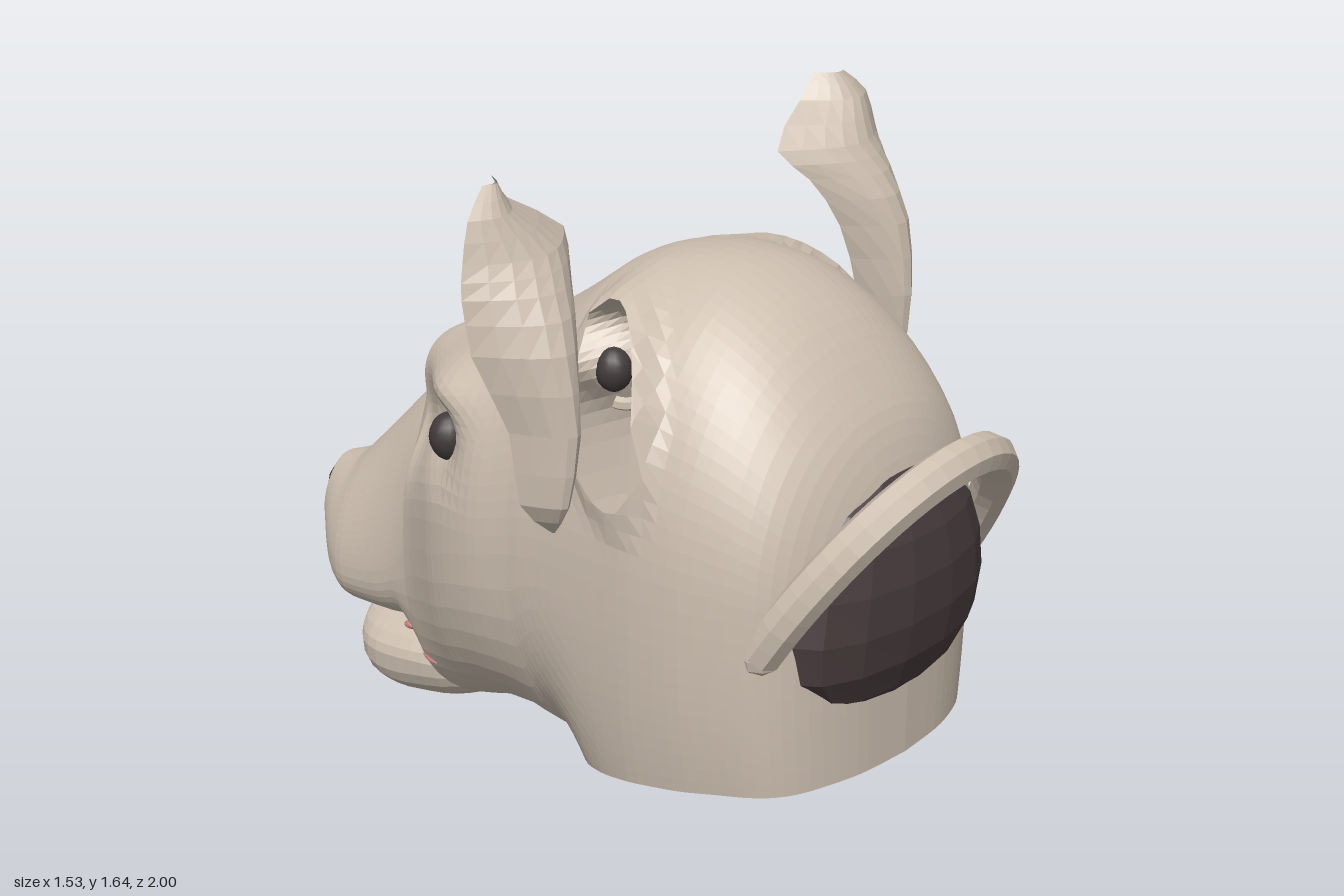
import * as THREE from 'three';

const { smoothstep } = THREE.MathUtils;
const mat = (name, color, flatShading = true) => {
  const m = new THREE.MeshStandardMaterial({ color, flatShading, side: THREE.DoubleSide });
  m.name = name;
  return m;
};

// Skin a list of rings; cells whose corners are all "cut" are left open
function skin(rings) {
  const n = rings[0].length, pos = [], idx = [];
  rings.forEach(r => r.forEach(p => pos.push(p.x, p.y, p.z)));
  for (let i = 0; i < rings.length - 1; i++) for (let j = 0; j < n - 1; j++) {
    const a = i * n + j, b = a + n;
    if ([rings[i][j], rings[i][j + 1], rings[i + 1][j], rings[i + 1][j + 1]].every(p => p.cut)) continue;
    idx.push(a, b, a + 1, a + 1, b, b + 1);
  }
  const g = new THREE.BufferGeometry();
  g.setAttribute('position', new THREE.Float32BufferAttribute(pos, 3));
  g.setIndex(idx);
  g.computeVertexNormals();
  return g;
}

// Monotone smooth interpolation between table rows
function refine(rows, sub) {
  const slope = (a, b) => (a * b <= 0 ? 0 : (2 * a * b) / (a + b));
  const at = i => rows[Math.min(Math.max(i, 0), rows.length - 1)];
  const out = [];
  for (let i = 0; i < rows.length - 1; i++) for (let s = 0; s < sub; s++) {
    const t = s / sub;
    out.push(rows[i].map((p, c) => {
      const q = at(i + 1)[c], d = q - p;
      const d0 = i > 0 ? p - at(i - 1)[c] : d, d1 = i < rows.length - 2 ? at(i + 2)[c] - q : d;
      return p + d * (3 * t * t - 2 * t ** 3) + slope(d0, d) * (t ** 3 - 2 * t * t + t) + slope(d, d1) * (t ** 3 - t * t);
    }));
  }
  out.push(rows[rows.length - 1]);
  return out;
}

// Ear hole in side view: middle height and half height at a given z
const hole = z => [1.09 - 0.7 * (z - 0.28), 0.18 * Math.sqrt(Math.max(0, 1 - ((z - 0.28) / 0.13) ** 2))];

// Cross-section: z, top, widest height, bottom, half width, openness at the bottom
function section([z, top, mid, bottom, w, open], nu, nl) {
  const half = [], end = Math.acos(Math.pow(open, 1 / 0.9));
  // boxy at the brow, tapering to a ridge along the snout, with full lips below
  const pu = z < -0.535 ? 1.1 : 0.9 - 0.22 * smoothstep(-z, 0.05, 0.3);
  const pl = 0.9 - 0.15 * smoothstep(-z, 0.52, 0.68);
  const [hy, hr] = hole(z);
  for (let j = 0; j <= nu; j++) {
    const a = (j / nu) * Math.PI / 2;
    let x = w * Math.sin(a) ** pu, y = mid + (top - mid) * Math.max(0, Math.cos(a)) ** pu;
    const cut = Math.abs(y - hy) < hr;
    if (cut) {
      y = y > hy ? hy + hr : hy - hr;
      x = w * Math.max(0, 1 - Math.max(0, (y - mid) / (top - mid)) ** (2 / pu)) ** (pu / 2);
    }
    half.push([x, y, cut]);
  }
  for (let j = 1; j <= nl; j++) {
    const a = (j / nl) * end;
    half.push([w * Math.max(0, Math.cos(a)) ** pl, mid - (mid - bottom) * (Math.sin(a) / Math.sin(end)) ** pl, false]);
  }
  const point = s => ([x, y, cut]) => Object.assign(new THREE.Vector3(s * x, y, z), { cut });
  return [...half.slice(1).reverse().map(point(1)), ...half.map(point(-1))];
}

const cranium = [
  [0.83, 0.62, 0.5, 0.27, 0, 0.94], [0.82, 0.85, 0.58, 0.27, 0.14, 0.94], [0.8, 0.95, 0.62, 0.27, 0.24, 0.94],
  [0.76, 1.06, 0.66, 0.265, 0.34, 0.94], [0.7, 1.15, 0.69, 0.26, 0.41, 0.93], [0.6, 1.26, 0.7, 0.25, 0.455, 0.92],
  [0.5, 1.33, 0.7, 0.235, 0.478, 0.92], [0.4, 1.37, 0.7, 0.22, 0.483, 0.92], [0.3, 1.38, 0.7, 0.2, 0.475, 0.9],
  [0.2, 1.37, 0.7, 0.18, 0.465, 0.83], [0.1, 1.34, 0.7, 0.15, 0.455, 0.6], [0.04, 1.3, 0.69, 0.12, 0.45, 0.3],
  [0, 1.27, 0.68, 0.1, 0.445, 0],
];
const face = [
  [-0.1, 1.2, 0.65, 0.125, 0.44], [-0.2, 1.14, 0.62, 0.12, 0.42], [-0.3, 1.1, 0.58, 0.09, 0.38],
  [-0.4, 1.06, 0.54, 0.055, 0.315], [-0.5, 1.03, 0.49, 0.03, 0.25], [-0.53, 1.01, 0.475, 0.05, 0.235],
  [-0.54, 0.91, 0.46, 0.07, 0.23], [-0.58, 0.875, 0.42, 0.16, 0.22], [-0.62, 0.84, 0.39, 0.215, 0.213],
  [-0.7, 0.76, 0.36, 0.212, 0.205], [-0.8, 0.66, 0.35, 0.212, 0.2], [-0.86, 0.605, 0.37, 0.225, 0.178],
  [-0.92, 0.58, 0.42, 0.28, 0.13], [-0.955, 0.565, 0.45, 0.36, 0.09], [-0.975, 0.5, 0.46, 0.42, 0],
].map(r => [...r, 0]);
const jaw = [
  [-0.38, 0.25, 0.14, 0.07, 0.1], [-0.46, 0.25, 0.14, 0.03, 0.155], [-0.54, 0.25, 0.14, 0.008, 0.182],
  [-0.62, 0.24, 0.135, 0.002, 0.188], [-0.7, 0.235, 0.13, 0.008, 0.183], [-0.77, 0.23, 0.13, 0.035, 0.155],
  [-0.81, 0.225, 0.15, 0.08, 0.105], [-0.83, 0.19, 0.17, 0.14, 0],
].map(r => [...r, 0]);

// Flared rim round the ear holes, eye sockets and brow ridges
function sculpt(p) {
  const s = Math.sign(p.x);
  if (Math.abs(p.x) < 0.1) return p;
  const { y, z } = p, hy = hole(z)[0];
  const e = Math.hypot((z - 0.28) / 0.13, (y - hy) / 0.18);
  const rim = Math.exp(-(((Math.max(e, 1) - 1) / 0.22) ** 2)), upper = smoothstep(y, hy - 0.1, hy + 0.05);
  const near = (cz, cy, rz, ry) => Math.exp(-(((z - cz) / rz) ** 2) - ((y - cy) / ry) ** 2);
  p.x += s * rim * (0.02 + 0.035 * upper);
  p.y += 0.025 * rim * upper;
  p.x += s * (0.05 * near(-0.33, 0.99, 0.12, 0.06) - 0.085 * near(-0.33, 0.86, 0.1, 0.085));
  if (z > -0.535) p.x -= s * 0.07 * near(-0.51, 0.82, 0.1, 0.11);
  return p;
}

// Cupped ear: height, inner edge x and z, outer edge x and z, depth of the cup
function earGeometry() {
  const rows = [
    [0.87, 0.6, 0.28, 0.61, 0.29, 0.01], [0.95, 0.58, 0.27, 0.68, 0.26, 0.09], [1.12, 0.55, 0.27, 0.7, 0.25, 0.12],
    [1.3, 0.5, 0.25, 0.76, 0.2, 0.13], [1.42, 0.44, 0.2, 0.765, 0.18, 0.11], [1.49, 0.39, 0.14, 0.75, 0.17, 0.095],
    [1.58, 0.53, 0.1, 0.72, 0.16, 0.06], [1.64, 0.58, 0.1, 0.65, 0.14, 0.03],
  ];
  const rings = refine(rows, 2).map(([y, xi, zi, xo, zo, cup]) => {
    const ring = [];
    const add = (t, b) => ring.push(new THREE.Vector3(
      xi + (xo - xi) * t, y, zi + (zo - zi) * t + b * Math.sin(t * Math.PI)));
    for (let j = 0; j <= 8; j++) add(j / 8, cup);
    for (let j = 7; j >= 0; j--) add(j / 8, cup * 0.75);
    return ring;
  });
  return skin(rings);
}

export function createModel() {
  const model = new THREE.Group();
  model.name = 'animalHead';
  const hide = mat('tan hide', 0xcdbfb0), dark = mat('dark lining', 0x483c3d);
  const black = mat('eye and nose', 0x423b3b, false);
  const red = mat('mouth red', 0x784442), pink = mat('tongue pink', 0xc07c78);
  const put = (parent, name, geo, material, pos = [0, 0, 0], scale = [1, 1, 1]) => {
    const m = new THREE.Mesh(geo, material);
    m.name = name;
    m.position.set(...pos);
    m.scale.set(...scale);
    parent.add(m);
    return m;
  };
  const ball = new THREE.SphereGeometry(1, 16, 10);

  // Head shell, open at the neck, and lower jaw
  const rings = refine([...cranium, ...face], 3).map(r => section(r, 24, 12).map(sculpt));
  put(model, 'head', skin(rings), hide);
  put(model, 'lowerJaw', skin(refine(jaw, 2).map(r => section(r, 6, 6))), hide);

  // Nose and inner mouth
  put(model, 'nose', ball, black, [0, 0.487, -0.942], [0.072, 0.06, 0.058]);
  put(model, 'mouthCavity', ball, red, [0, 0.3, -0.36], [0.21, 0.1, 0.16]);
  put(model, 'tongue', new THREE.CylinderGeometry(0.13, 0.12, 0.08, 16), pink, [0, 0.17, -0.37]);

  // Dark patch at the back of the head, squarer towards its lower edge
  const patch = new THREE.SphereGeometry(1, 14, 9), pp = patch.attributes.position;
  for (let i = 0; i < pp.count; i++) if (pp.getY(i) < 0) pp.setX(i, pp.getX(i) * (1 - 0.3 * pp.getY(i)));
  put(model, 'backPatch', patch, dark, [0, 0.685, 0.755], [0.335, 0.29, 0.14]);

  // Raised band arching over the patch
  const arc = [];
  for (let i = 0; i <= 16; i++) {
    const a = (i / 16) * Math.PI, h = Math.sin(a);
    arc.push(new THREE.Vector3(0.375 * Math.cos(a), 0.61 + 0.41 * h, 0.69 + 0.26 * h));
  }
  put(model, 'backBand', new THREE.TubeGeometry(new THREE.CatmullRomCurve3(arc), 28, 0.05, 8), hide);

  // Paired parts
  const ear = earGeometry();
  for (const s of [1, -1]) {
    const side = new THREE.Group();
    side.name = s > 0 ? 'leftSide' : 'rightSide';
    side.scale.x = s;
    model.add(side);
    put(side, 'ear', ear, hide);
    put(side, 'bandEnd', new THREE.SphereGeometry(0.05, 8, 6), hide, arc[0].toArray());
    put(side, 'eye', ball, black, [0.305, 0.86, -0.3], [0.05, 0.06, 0.05]);
    const lid = put(side, 'eyelid', new THREE.TorusGeometry(0.085, 0.018, 6, 14, 2.4), hide, [0.32, 0.85, -0.28]);
    lid.rotation.set(0, 2.0, 2.6);
    // Thin traces of the inner lip at the corner of the mouth
    const corner = put(side, 'mouthCorner', ball, pink, [0.192, 0.175, -0.49], [0.012, 0.007, 0.04]);
    corner.rotation.y = 0.4;
    put(side, 'lipCorner', ball, pink, [0.186, 0.243, -0.565], [0.012, 0.01, 0.02]);
  }
  return model;
}
